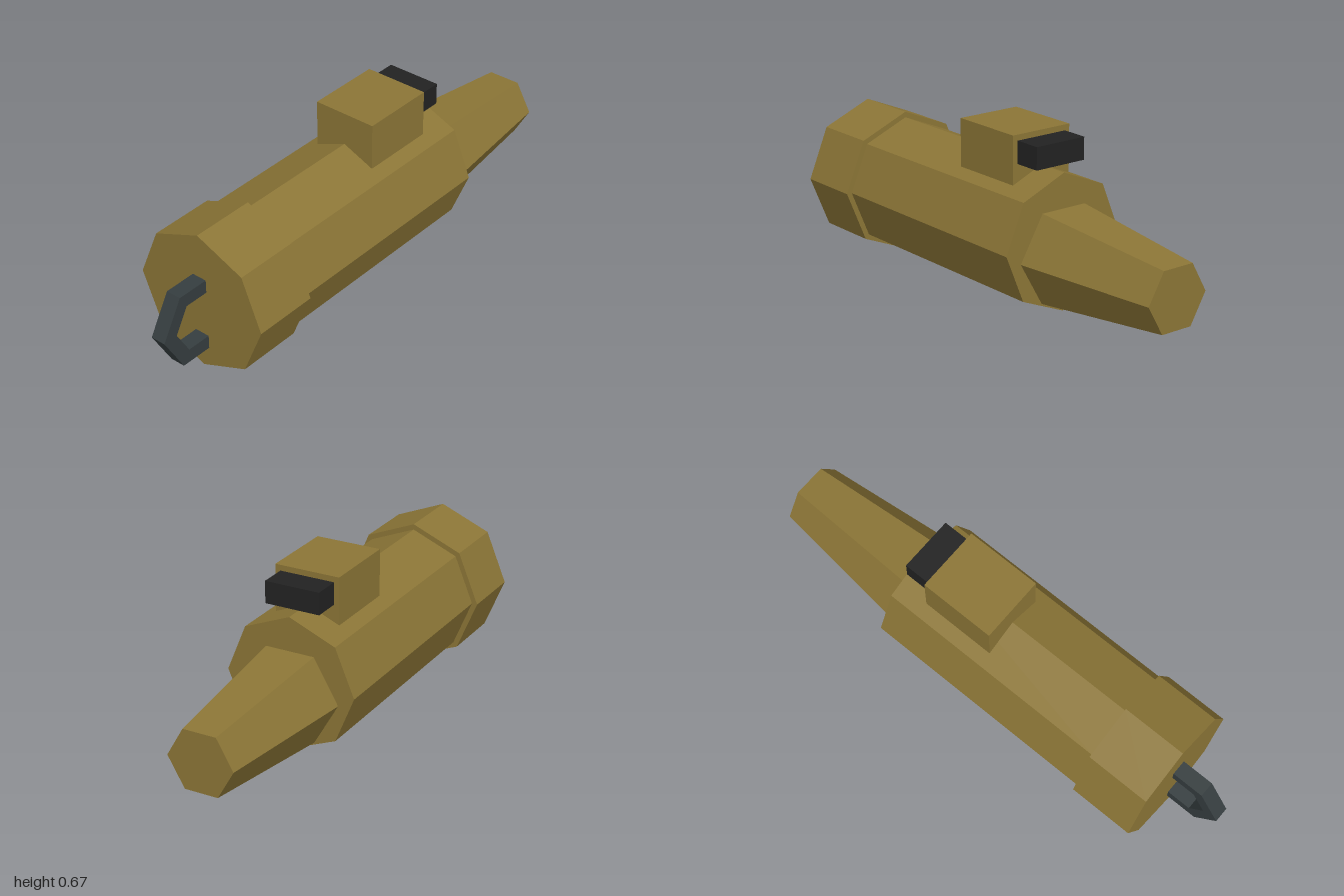
import * as THREE from 'three';

export function createModel() {
  const model = new THREE.Group();
  const material = (name, color) => {
    const m = new THREE.MeshStandardMaterial({ color, flatShading: true });
    m.name = name;
    return m;
  };
  const brass = material('brass', 0x8b7536);
  const black = material('black', 0x222222);
  const steel = material('dark steel', 0x353d3f);

  const add = (name, geometry, mat) => {
    const mesh = new THREE.Mesh(geometry, mat);
    mesh.name = name;
    model.add(mesh);
  };
  // Faceted barrel lying along x, from x0 (radius r0) to x1 (radius r1)
  const barrel = (name, x0, x1, r0, r1, sides, y) => {
    const g = new THREE.CylinderGeometry(r1, r0, x1 - x0, sides);
    g.rotateZ(-Math.PI / 2).translate((x0 + x1) / 2, y, 0);
    add(name, g, brass);
  };
  // Box given by its limits in x and y, centred on z
  const box = (name, x0, x1, y0, y1, depth, mat) => {
    const g = new THREE.BoxGeometry(x1 - x0, y1 - y0, depth);
    g.translate((x0 + x1) / 2, (y0 + y1) / 2, 0);
    add(name, g, mat);
  };

  // Octagonal body with a wider end cap, and a tapered six-sided nose
  barrel('endCap', -0.785, -0.53, 0.28, 0.28, 8, 0.28);
  barrel('body', -0.53, 0.415, 0.258, 0.258, 8, 0.28);
  barrel('nose', 0.415, 0.997, 0.194, 0.13, 6, 0.238);

  // Block on top with a dark front piece
  box('topBlock', -0.01, 0.29, 0.46, 0.667, 0.258, brass);
  box('frontPiece', 0.29, 0.395, 0.56, 0.645, 0.217, black);

  // Half-hexagon loop on the end cap
  const loop = new THREE.Shape([
    [-0.76, 0.385], [-0.912, 0.385], [-0.997, 0.238], [-0.912, 0.09], [-0.76, 0.09],
    [-0.76, 0.143], [-0.882, 0.143], [-0.937, 0.238], [-0.882, 0.333], [-0.76, 0.333],
  ].map(([x, y]) => new THREE.Vector2(x, y)));
  const loopGeometry = new THREE.ExtrudeGeometry(loop, { depth: 0.06, bevelEnabled: false });
  add('endLoop', loopGeometry.translate(0, 0, -0.03), steel);

  return model;
}
